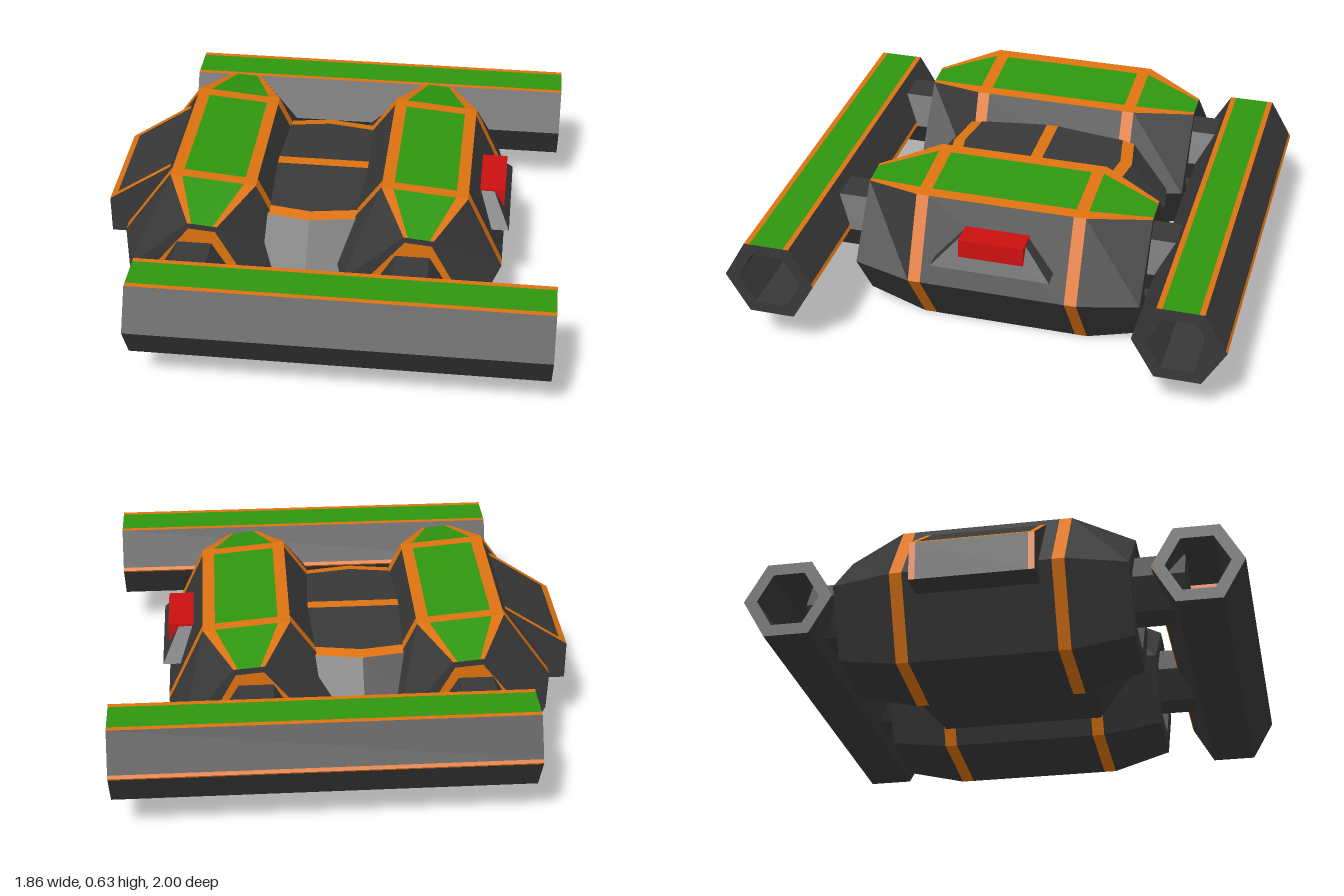
import * as THREE from 'three';

const GREY = 0x383838, ORANGE = 0xdd7210, GREEN = 0x2f9610, RED = 0xcc1010;
const materials = {};
const material = (color) => (materials[color] ??= new THREE.MeshStandardMaterial({ color, flatShading: true }));

// Joins matching cross-sections into a closed solid; colorAt(section, side) paints each facet.
// Sections run along +z (or +x) with points counter-clockwise seen from that end.
function loft(name, sections, colorAt, capColor = GREY) {
  const byColor = new Map();
  const tri = (color, ...points) => {
    if (!byColor.has(color)) byColor.set(color, []);
    points.forEach((p) => byColor.get(color).push(...p));
  };
  const n = sections[0].length;
  for (let i = 0; i < sections.length - 1; i++) {
    for (let j = 0; j < n; j++) {
      const k = (j + 1) % n, s = sections[i], t = sections[i + 1], c = colorAt(i, j);
      tri(c, s[j], s[k], t[k]);
      tri(c, s[j], t[k], t[j]);
    }
  }
  const first = sections[0], last = sections[sections.length - 1];
  for (let j = 1; j < n - 1; j++) {
    tri(capColor, first[0], first[j + 1], first[j]);
    tri(capColor, last[0], last[j], last[j + 1]);
  }
  const group = new THREE.Group();
  group.name = name;
  for (const [color, positions] of byColor) {
    const geometry = new THREE.BufferGeometry();
    geometry.setAttribute('position', new THREE.Float32BufferAttribute(positions, 3));
    geometry.computeVertexNormals();
    const mesh = new THREE.Mesh(geometry, material(color));
    mesh.name = name + { [GREY]: 'Plating', [ORANGE]: 'Trim', [GREEN]: 'Panel', [RED]: 'Lamp' }[color];
    group.add(mesh);
  }
  return group;
}

const mix = (a, b, t) => a.map((v, i) => v + (b[i] - v) * t);
const polar = (r, degrees) => {
  const a = THREE.MathUtils.degToRad(degrees);
  return [r * Math.cos(a), r * Math.sin(a)];
};

// Tilted hexagonal hull with tapered ends, trim bands and recessed end plates
function hull(cx) {
  const cy = 0.32, R = 0.35, tilt = -5;
  const section = (z, scale, narrow = 1, inset = 1) => {
    const hex = [0, 1, 2, 3, 4, 5].map((k) => polar(R * scale, tilt + 60 * k));
    const mid = mix(hex[1], hex[2], 0.5);
    hex[1] = mix(mid, hex[1], narrow);
    hex[2] = mix(mid, hex[2], narrow);
    const ring = [hex[0], hex[1], mix(hex[1], hex[2], 0.14), mix(hex[1], hex[2], 0.86), ...hex.slice(2)];
    return ring.map(([x, y], j) => {
      const k = inset === 1 ? 1 : j >= 1 && j <= 4 ? 0.9 : inset;
      return [cx + x * k, cy + y * k, z];
    });
  };
  const sections = [
    section(-0.56, 0.84, 0.42, 0.7), section(-0.61, 0.84, 0.42, 0.7), section(-0.61, 0.84, 0.42),
    section(-0.37, 1), section(-0.32, 1), section(0.27, 1), section(0.32, 1),
    section(0.56, 0.81, 0.42), section(0.56, 0.81, 0.42, 0.7), section(0.51, 0.81, 0.42, 0.7),
  ];
  return loft('hull', sections, (i, j) => {
    if (i === 3 || i === 5) return ORANGE;
    if (i < 2 || i > 6) return GREY;
    return j === 2 ? GREEN : j === 1 || j === 3 ? ORANGE : GREY;
  }, ORANGE);
}

// Hollow hexagonal side pod with a green top panel and a thin trim line along its rear edge
function pod(cz) {
  const section = (x, r) => {
    const h = [-30, 30, 90, 150, 210, 270].map((a) => polar(r, a));
    const ring = [
      h[0], mix(h[0], h[1], 0.12), mix(h[0], h[1], 0.88), h[1], h[2], h[3], h[4],
      mix(h[5], h[4], 0.05), h[5], mix(h[5], h[0], 0.08),
    ];
    return ring.map(([y, z]) => [x, 0.347 + y, cz + z]);
  };
  const sections = [
    section(-0.32, 0.128), section(-0.72, 0.128), section(-0.72, 0.183),
    section(0.927, 0.183), section(0.927, 0.128), section(0.53, 0.128),
  ];
  return loft('pod', sections, (i, j) => {
    if (i !== 2) return GREY;
    return j === 1 ? GREEN : [0, 2, 7, 8].includes(j) ? ORANGE : GREY;
  }, ORANGE);
}

// Hexagonal strut joining a hull to both pods
function strut(x) {
  const mesh = new THREE.Mesh(new THREE.CylinderGeometry(0.138, 0.138, 0.22, 6), material(GREY));
  mesh.name = 'strut';
  mesh.geometry.rotateY(Math.PI / 2).rotateX(Math.PI / 2);
  const pair = new THREE.Group();
  pair.name = 'struts';
  for (const z of [-0.65, 0.65]) {
    const copy = mesh.clone();
    copy.position.set(x, 0.345, z);
    pair.add(copy);
  }
  return pair;
}

// Central body between the hulls, bulging at its midline
function centralBody() {
  const half = [[0.515, 0.025], [0.495, 0.3], [0.485, 0.35], [0.31, 0.5], [0.1, 0.33]];
  const section = (x, bulge) => {
    const side = half.map(([y, z], i) => [x, y, z + (i ? bulge : 0)]);
    const back = side.map(([px, y, z]) => [px, y, -z]).reverse();
    return [...side, ...back].map(([px, y, z]) => [px, y, z - 0.025]);
  };
  const sections = [section(-0.32, 0), section(-0.075, 0.04), section(0.17, 0)];
  return loft('centralBody', sections, (i, j) => ([1, 7, 9].includes(j) ? ORANGE : GREY));
}

// Wedge-shaped side bay with a trimmed frame
function sideBay() {
  const profile = [[-0.93, 0.27], [-0.65, 0.27], [-0.66, 0.61], [-0.9, 0.45], [-0.93, 0.43]];
  const sections = [-0.27, -0.245, 0.195, 0.22].map((z) => profile.map(([x, y]) => [x, y, z]));
  return loft('sideBay', sections, (i, j) => (j === 3 || (j !== 0 && j !== 1 && i !== 1) ? ORANGE : GREY));
}

// Lamp on the opposite flank, in a flared housing
function lamp() {
  const group = new THREE.Group();
  group.name = 'lamp';
  const profile = (z, topZ) => [
    [0.58, 0.395, z], [0.73, 0.395, z], [0.66, 0.512, topZ], [0.58, 0.512, topZ],
  ];
  group.add(loft('lampHousing', [profile(-0.265, -0.15), profile(0.218, 0.105)], () => GREY));
  const light = new THREE.Mesh(new THREE.BoxGeometry(0.125, 0.078, 0.262), material(RED));
  light.name = 'lampLight';
  light.position.set(0.6425, 0.479, -0.024);
  group.add(light);
  return group;
}

export function createModel() {
  const model = new THREE.Group();
  model.name = 'spacecraft';
  model.add(hull(-0.497), hull(0.36), strut(-0.515), strut(0.357));
  model.add(pod(-0.817), pod(0.817), centralBody(), sideBay(), lamp());
  return model;
}
